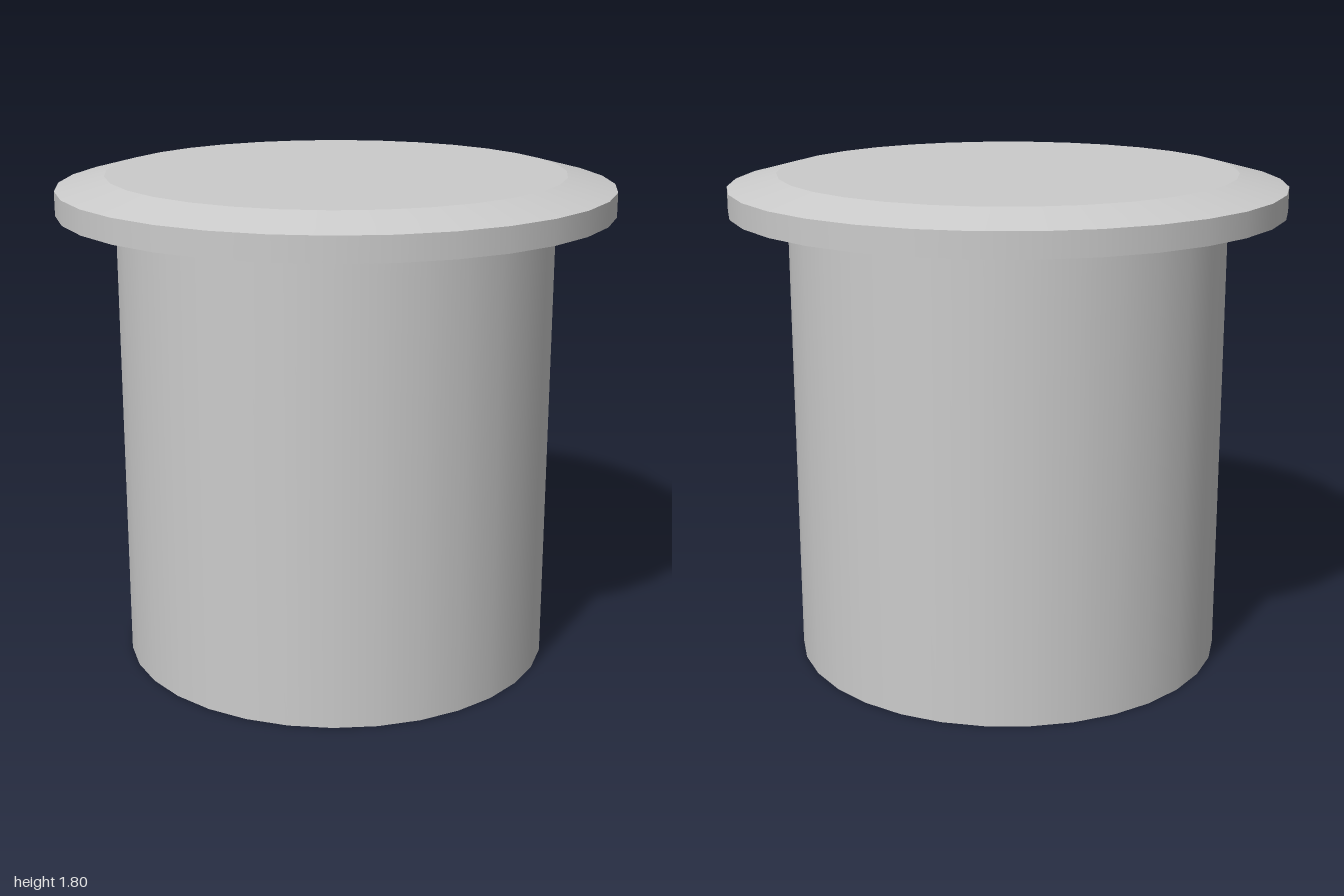
import * as THREE from 'three';

const SIDES = 32;

export function createModel() {
  const model = new THREE.Group();
  model.name = 'flangedCap';
  const material = new THREE.MeshStandardMaterial({ color: 0xcccccc, side: THREE.DoubleSide });

  // One smooth band of the shell, swept between two [radius, height] points
  function addBand(name, from, to) {
    const points = [from, to].map(([r, y]) => new THREE.Vector2(r, y));
    const mesh = new THREE.Mesh(new THREE.LatheGeometry(points, SIDES), material);
    mesh.name = name;
    model.add(mesh);
  }

  // Outline from the open bottom up to the rim of the flat top
  const bottom = [0.79, 0];
  const neck = [0.79, 1.667];
  const flangeLow = [1, 1.667];
  const flangeHigh = [1, 1.754];
  const topRim = [0.825, 1.8];

  addBand('tubeWall', bottom, neck);
  addBand('flangeUnderside', neck, flangeLow);
  addBand('flangeEdge', flangeLow, flangeHigh);
  addBand('flangeBevel', flangeHigh, topRim);

  // Flat closed top
  const top = new THREE.Mesh(new THREE.CircleGeometry(topRim[0], SIDES), material);
  top.name = 'topPlate';
  top.rotation.x = -Math.PI / 2;
  top.position.y = topRim[1];
  model.add(top);

  return model;
}
